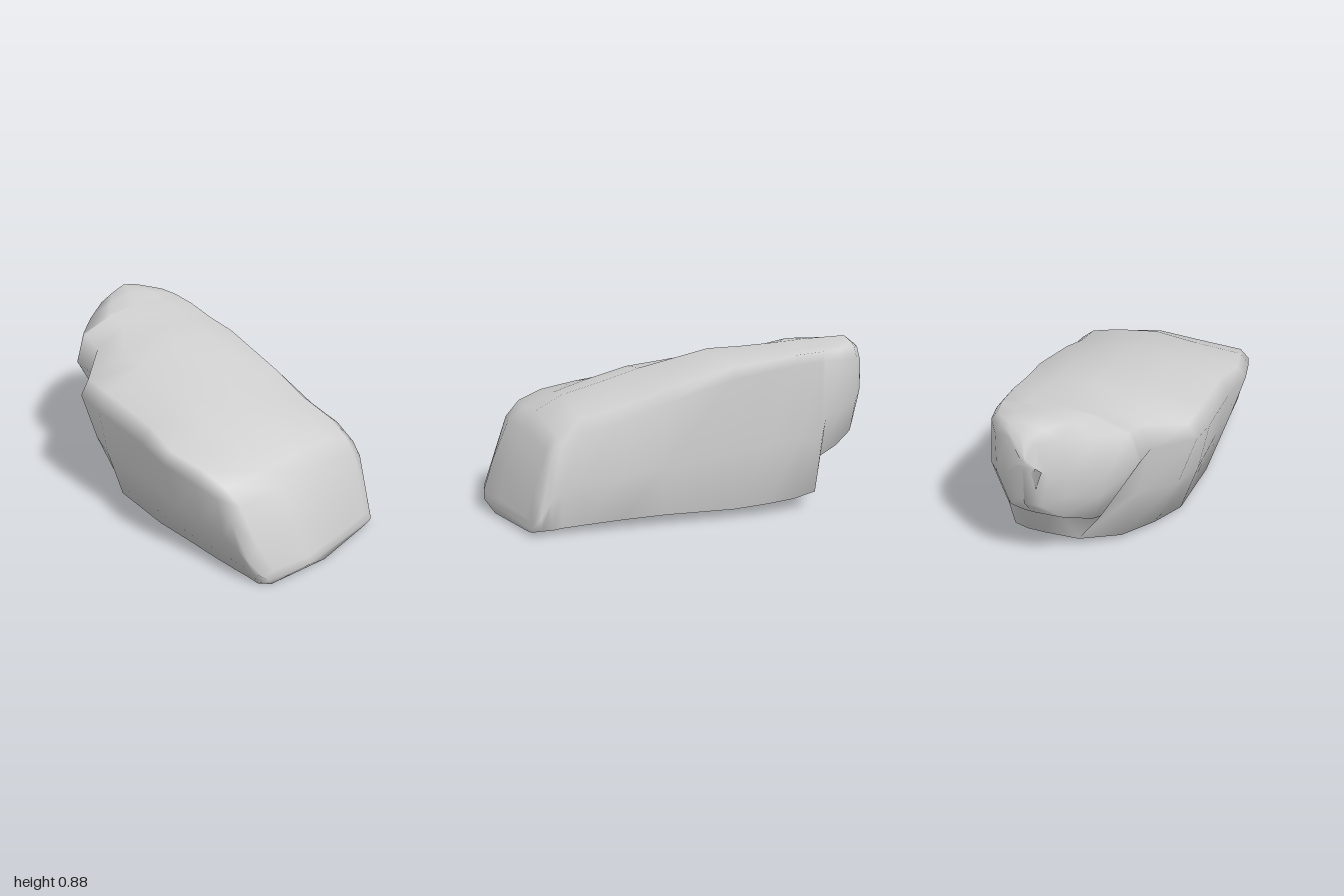
import * as THREE from 'three';

// Cross-sections from front to back:
// z, left foot x, left bulge x, left bulge y, left shoulder y, crest y, right x, right shoulder y, base y
const sections = [
  [1.0, -0.29, -0.33, 0.06, 0.09, 0.1, 0.51, 0.08, 0.01],
  [0.95, -0.33, -0.385, 0.15, 0.22, 0.27, 0.52, 0.2, 0.0],
  [0.86, -0.33, -0.43, 0.36, 0.43, 0.47, 0.52, 0.39, 0.0],
  [0.76, -0.34, -0.46, 0.46, 0.51, 0.545, 0.515, 0.46, 0.005],
  [0.6, -0.35, -0.49, 0.5, 0.56, 0.62, 0.51, 0.53, 0.01],
  [0.4, -0.36, -0.52, 0.53, 0.59, 0.67, 0.51, 0.57, 0.02],
  [0.18, -0.37, -0.48, 0.54, 0.63, 0.74, 0.505, 0.65, 0.025],
  [-0.2, -0.33, -0.475, 0.58, 0.68, 0.825, 0.495, 0.76, 0.02],
  [-0.38, -0.24, -0.455, 0.6, 0.68, 0.83, 0.495, 0.79, 0.03],
  [-0.55, -0.11, -0.265, 0.61, 0.74, 0.855, 0.5, 0.82, 0.035],
  [-0.68, 0.08, -0.255, 0.62, 0.78, 0.865, 0.5, 0.83, 0.06],
  [-0.7, -0.05, -0.25, 0.62, 0.78, 0.868, 0.5, 0.83, 0.25],
  [-0.8, -0.04, -0.13, 0.6, 0.8, 0.88, 0.485, 0.83, 0.3],
  [-0.91, 0.08, 0.03, 0.62, 0.82, 0.89, 0.42, 0.83, 0.36],
  [-0.96, 0.17, 0.13, 0.64, 0.8, 0.85, 0.36, 0.8, 0.44],
  [-1.0, 0.2, 0.17, 0.7, 0.73, 0.75, 0.28, 0.73, 0.67],
];

const { lerp, smoothstep } = THREE.MathUtils;

// One closed outline, running up the left side, over the crest and down the right
function ring([z, xF, xL, yL, yS, yT, xR, yR, y0]) {
  const xT = lerp(xL, xR, 0.55);
  const xS = xL + 0.05;
  const lift = Math.min(0.03, (yL - y0) * 0.3);
  const dent = 0.014 * Math.sin(z * 7);
  const inset = 0.045 + 0.03 * smoothstep(z, -0.1, 0.4); // softer right shoulder in front
  const tuck = 0.07 * smoothstep(-z, 0.3, 0.68); // right foot drawn in behind
  const outline = [
    [xF, y0 + lift * 0.2],
    [lerp(xF, xL, 0.55) + dent * 0.7, lerp(y0, yL, 0.5)],
    [xL, yL],
    [xS, yS],
    [lerp(xS, xT, 0.5), lerp(yS, yT, 0.6) + dent],
    [xT, yT],
    [lerp(xT, xR, 0.5), lerp(yT, yR, 0.35) - dent * 0.5],
    [xR - inset, lerp(yT, yR, 0.65)],
    [xR - 0.01, yR - 0.04 * Math.min(1, yR)],
    [xR - 0.005 + dent, lerp(y0, yR, 0.45)],
    [xR - tuck, y0 + lift],
    [xR - 0.07 - tuck, y0 + 0.01],
    [lerp(xF, xR, 0.45), y0 + 0.005],
  ];
  // The front end bows back towards both corners
  const bow = smoothstep(z, 0.6, 1);
  return outline.map(([x, y]) => {
    const d = x + 0.07;
    const back = d > 0 ? 0.23 * d : -0.2 * d;
    return [x, y, z - back * bow];
  });
}

// Skin the outlines and close both ends
function loft(rings) {
  const n = rings[0].length;
  const pos = rings.flat(2);
  const index = [];
  for (let i = 0; i < rings.length - 1; i++) {
    for (let j = 0; j < n; j++) {
      const k = (j + 1) % n;
      const a = i * n + j, b = i * n + k;
      index.push(a, b, a + n, b, b + n, a + n);
    }
  }
  const addCap = (i, front) => {
    const centre = [0, 1, 2].map((c) => rings[i].reduce((s, p) => s + p[c], 0) / n);
    if (front) { centre[0] = -0.07; centre[2] = 1; }
    const id = pos.length / 3;
    pos.push(...centre);
    for (let j = 0; j < n; j++) {
      const a = i * n + j, b = i * n + (j + 1) % n;
      index.push(id, front ? b : a, front ? a : b);
    }
  };
  addCap(0, true);
  addCap(rings.length - 1, false);
  const geo = new THREE.BufferGeometry();
  geo.setAttribute('position', new THREE.Float32BufferAttribute(pos, 3));
  geo.setIndex(index);
  geo.computeVertexNormals();
  return geo;
}

export function createModel() {
  const group = new THREE.Group();
  group.name = 'boulder';
  const stone = new THREE.MeshStandardMaterial({ color: 0xcfcfcf });
  stone.name = 'grey stone';
  const rock = new THREE.Mesh(loft(sections.map(ring)), stone);
  rock.name = 'rock';
  group.add(rock);
  return group;
}
